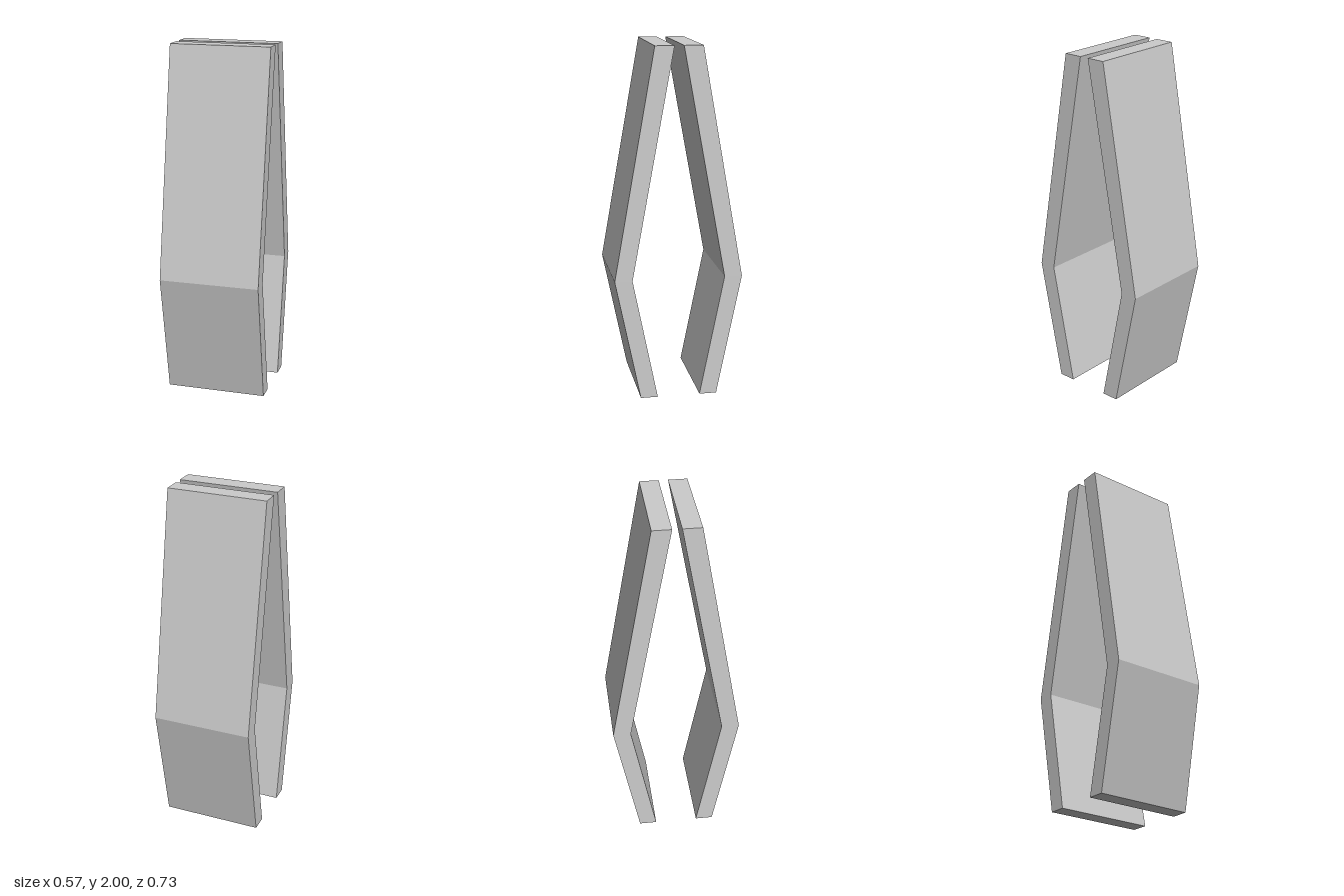
import * as THREE from 'three';

const WIDTH = 0.572;

// Bent slab side profile: [distance from the middle plane, height]
const PROFILE = [
  [0.122, 0], [0.22, 0], [0.363, 0.7], [0.133, 2], [0.026, 2], [0.263, 0.7],
];

export function createModel() {
  const group = new THREE.Group();
  group.name = 'bentPanelPair';
  const material = new THREE.MeshStandardMaterial({ color: 0xcccccc, flatShading: true });

  const shape = new THREE.Shape(PROFILE.map(([d, y]) => new THREE.Vector2(d, y)));
  const geometry = new THREE.ExtrudeGeometry(shape, { depth: WIDTH, bevelEnabled: false });
  geometry.translate(0, 0, -WIDTH / 2);

  // Two matching panels, bowed away from each other
  for (const [name, side] of [['frontPanel', 1], ['backPanel', -1]]) {
    const panel = new THREE.Mesh(geometry, material);
    panel.name = name;
    panel.rotation.y = -side * Math.PI / 2;
    group.add(panel);
  }
  return group;
}
